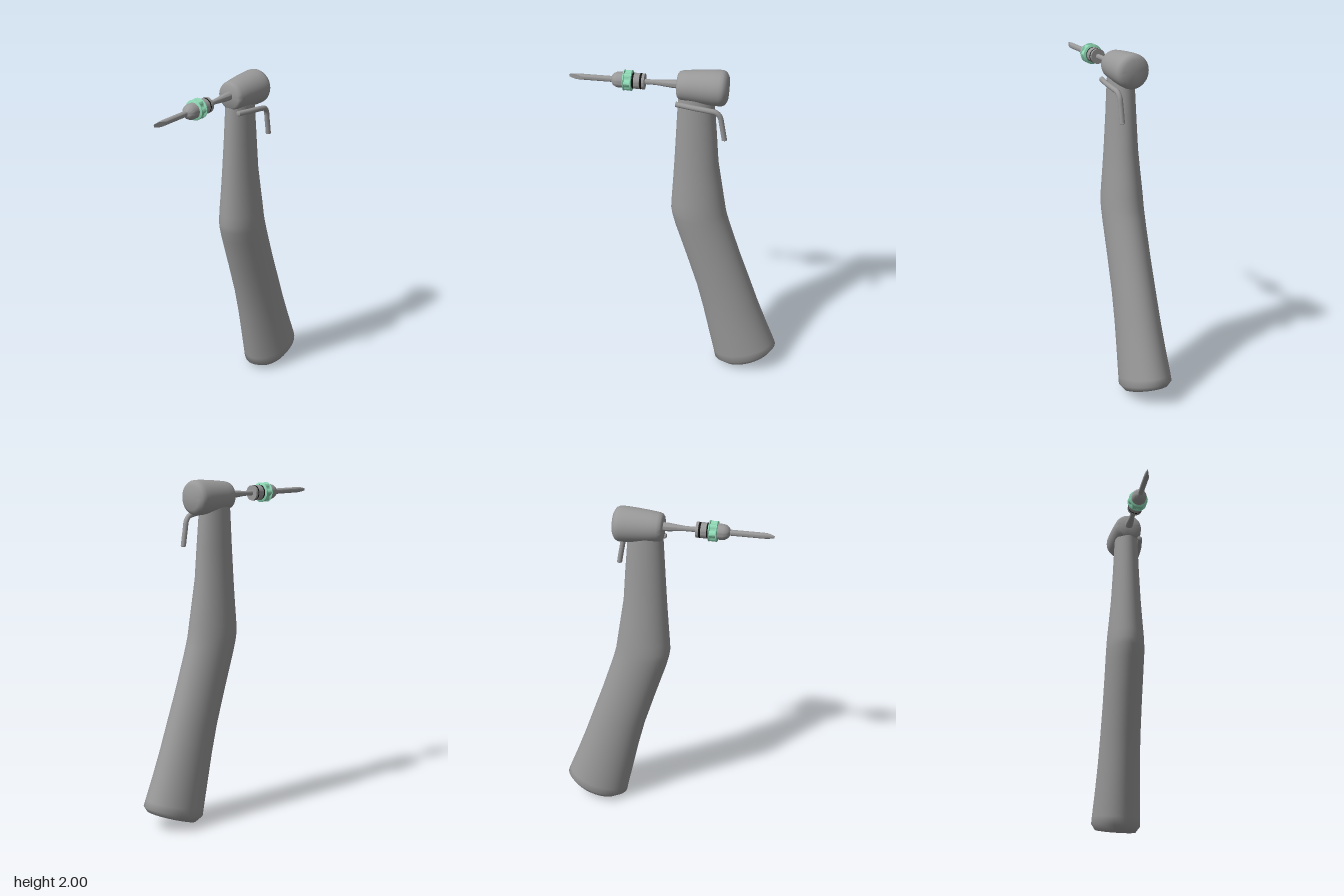
import * as THREE from 'three';
import { toCreasedNormals } from 'three/addons/utils/BufferGeometryUtils.js';

const AXIS_Y = 1.905; // height of the horizontal head and nozzle axis
const steel = new THREE.MeshStandardMaterial({ color: 0x999999 });
const green = new THREE.MeshStandardMaterial({ color: 0x8fd9b6 });
const black = new THREE.MeshStandardMaterial({ color: 0x111111 });

function addMesh(parent, name, geometry, material = steel) {
  const mesh = new THREE.Mesh(geometry, material);
  mesh.name = name;
  parent.add(mesh);
  return mesh;
}

// Solid of revolution about z, from [radius, z] pairs running back to front
function turned(profile, segments = 40, crease = 0.6) {
  const geo = new THREE.LatheGeometry(profile.map(([r, z]) => new THREE.Vector2(r, z)), segments);
  geo.rotateX(Math.PI / 2);
  return toCreasedNormals(geo, crease);
}

// Skin over tilted elliptical sections: [frontZ, frontY, backZ, backY, halfWidth]
function loft(sections, n = 48) {
  const pos = [], index = [];
  sections.forEach(([fz, fy, bz, by, w], i) => {
    for (let j = 0; j < n; j++) {
      const a = (j / n) * Math.PI * 2;
      const t = (1 + Math.cos(a)) / 2;
      pos.push(w * Math.sin(a), by + (fy - by) * t, bz + (fz - bz) * t);
      if (i === 0) continue;
      const k = (j + 1) % n, p = (i - 1) * n, q = i * n;
      index.push(p + j, p + k, q + j, p + k, q + k, q + j);
    }
  });
  const geo = new THREE.BufferGeometry();
  geo.setAttribute('position', new THREE.Float32BufferAttribute(pos, 3));
  geo.setIndex(index);
  geo.computeVertexNormals();
  return geo;
}

export function createModel() {
  const model = new THREE.Group();

  // Bent handle with a closed, softly chamfered lower end
  addMesh(model, 'handle', loft([
    [-0.44, 0.055, -0.441, 0.0555, 0.0005],
    [-0.288, 0.0, -0.594, 0.11, 0.12],
    [-0.238, 0.03, -0.615, 0.143, 0.144],
    [-0.228, 0.08, -0.601, 0.18, 0.142],
    [-0.19, 0.255, -0.55, 0.31, 0.132],
    [-0.157, 0.41, -0.494, 0.46, 0.124],
    [-0.117, 0.573, -0.437, 0.626, 0.119],
    [-0.054, 0.78, -0.376, 0.8, 0.116],
    [0.016, 1.0, -0.318, 0.98, 0.115],
    [0.034, 1.07, -0.297, 1.05, 0.115],
    [0.04, 1.11, -0.284, 1.1, 0.114],
    [0.037, 1.17, -0.273, 1.17, 0.111],
    [0.028, 1.3, -0.253, 1.3, 0.1],
    [0.02, 1.43, -0.233, 1.43, 0.09],
    [0.01, 1.62, -0.22, 1.62, 0.08],
    [0.001, 1.8, -0.207, 1.78, 0.073],
    [-0.004, 1.88, -0.2, 1.88, 0.068],
  ]));

  // Everything turned about the horizontal axis
  const top = new THREE.Group();
  top.name = 'headAndNozzle';
  top.position.y = AXIS_Y;
  model.add(top);

  // Head, shaded smoothly over its rounded back
  addMesh(top, 'head', turned([
    [0, -0.278], [0.07, -0.278], [0.09, -0.266], [0.098, -0.252],
    [0.1, -0.235], [0.099, -0.2], [0.095, -0.14], [0.088, -0.07], [0.082, -0.025],
    [0.076, -0.008], [0.066, 0], [0, 0.001],
  ], 48, Math.PI)).position.y = -0.005;

  addMesh(top, 'neckShaft', turned([
    [0.025, -0.01], [0.0235, 0.03], [0.019, 0.075], [0.0145, 0.125], [0.0145, 0.19],
  ]));

  addMesh(top, 'collar', turned([
    [0, 0.185], [0.044, 0.185], [0.044, 0.2], [0.04, 0.2], [0.04, 0.212],
    [0.044, 0.212], [0.044, 0.245], [0.04, 0.245], [0.04, 0.258],
  ]));
  for (const z of [0.206, 0.251]) {
    const ring = addMesh(top, 'sealRing', new THREE.TorusGeometry(0.0385, 0.006, 10, 40), black);
    ring.position.z = z;
  }

  // Green grip wheel: scalloped core between two thin flanges
  const wheel = new THREE.Shape();
  const steps = 72;
  for (let i = 0; i < steps; i++) {
    const a = (i / steps) * Math.PI * 2;
    const r = 0.05 + 0.006 * Math.cos(6 * a);
    if (i === 0) wheel.moveTo(r, 0);
    else wheel.lineTo(r * Math.cos(a), r * Math.sin(a));
  }
  const core = new THREE.ExtrudeGeometry(wheel, { depth: 0.046, bevelEnabled: false });
  core.translate(0, 0, 0.257);
  addMesh(top, 'gripWheel', toCreasedNormals(core, 0.6), green);
  for (const z of [0.255, 0.297]) {
    addMesh(top, 'gripFlange', turned([
      [0, z], [0.055, z], [0.058, z + 0.002], [0.058, z + 0.006], [0.055, z + 0.008], [0, z + 0.008],
    ]), green);
  }

  addMesh(top, 'nozzleBase', turned([
    [0.044, 0.3], [0.044, 0.335], [0.041, 0.347], [0.035, 0.358], [0.027, 0.367], [0.0165, 0.373],
  ]));

  // Slim shaft whose end is cut off at a slant toward -x
  const shaft = new THREE.CylinderGeometry(0.0165, 0.0165, 0.25, 28, 40);
  shaft.rotateX(Math.PI / 2);
  shaft.translate(0, 0, 0.492);
  const p = shaft.attributes.position;
  for (let i = 0; i < p.count; i++) {
    const t = Math.max(0, (p.getZ(i) - 0.54) / 0.077);
    const narrow = 1 - 0.5 * t * t;
    const limit = 0.0165 - 0.0245 * t;
    p.setX(i, Math.min(p.getX(i) * narrow, limit));
    p.setY(i, p.getY(i) * (1 - 0.6 * t * t * t));
  }
  addMesh(top, 'bevelledTip', toCreasedNormals(shaft, 0.5));

  // Thin spray tube along the left side below the head, bending down at the back
  const path = new THREE.CatmullRomCurve3([
    [0.068, 1.815, 0], [0.075, 1.813, -0.04], [0.083, 1.808, -0.1], [0.085, 1.799, -0.18],
    [0.082, 1.789, -0.225], [0.079, 1.765, -0.246], [0.077, 1.71, -0.258], [0.076, 1.622, -0.273],
  ].map(v => new THREE.Vector3(...v)));
  addMesh(model, 'sprayTube', new THREE.TubeGeometry(path, 60, 0.015, 14));
  const plug = new THREE.SphereGeometry(0.015, 14, 8);
  for (const t of [0, 1]) {
    const end = addMesh(model, 'sprayTubeEnd', plug);
    end.position.copy(path.getPoint(t));
    end.scale.set(1, t ? 0.3 : 1, t ? 1 : 0.3);
  }

  return model;
}
